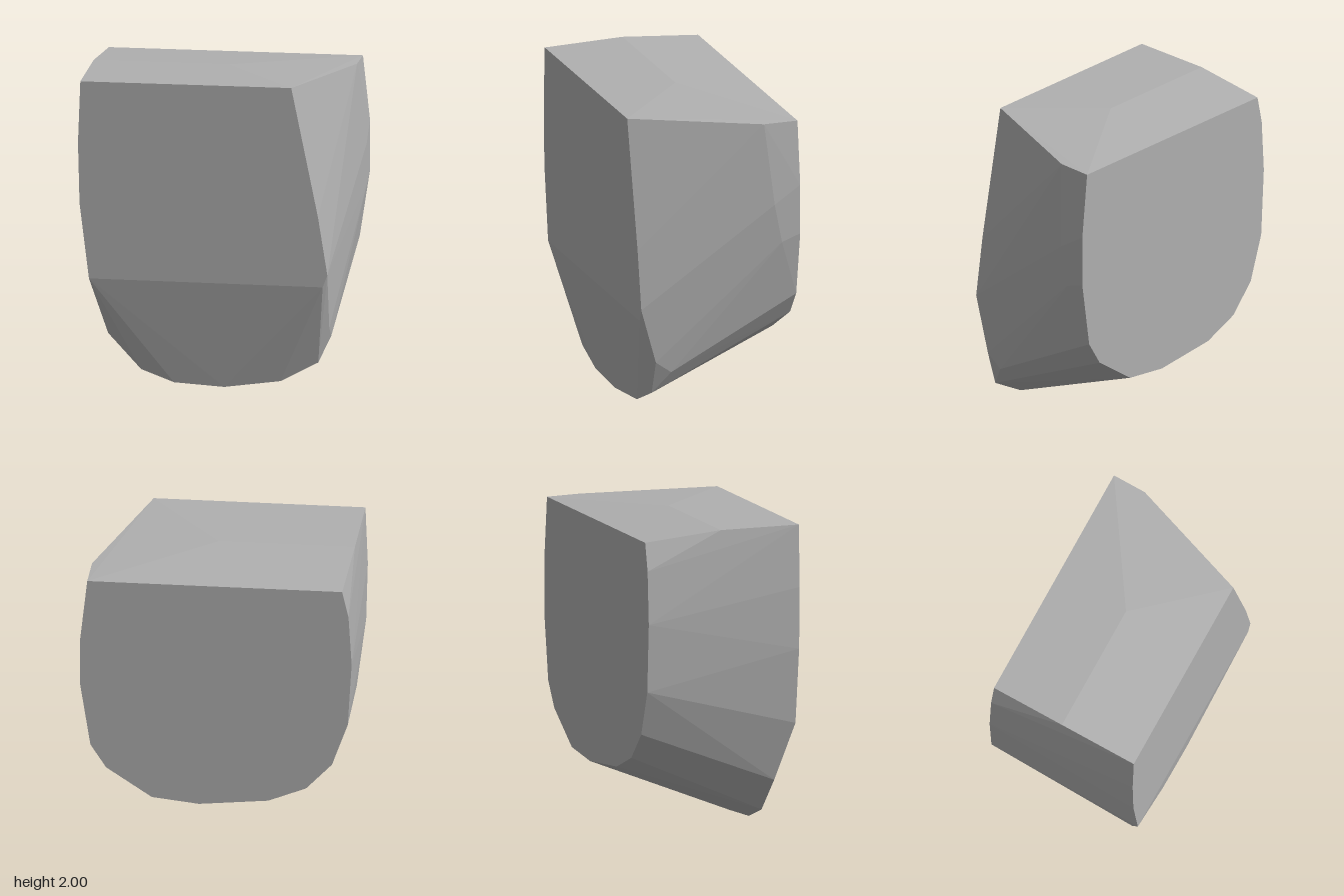
import * as THREE from 'three';
import { ConvexGeometry } from 'three/addons/geometries/ConvexGeometry.js';

// Outline of the flat front face, [x, y]
const FRONT = [[-0.855, 2], [0.49, 2], [0.66, 1.16], [0.72, 0.78], [0.69, 0.7],
  [-0.8, 0.71], [-0.86, 1.2], [-0.87, 1.6]];
// Lower rim, set slightly back from the front face
const RIM = [[-0.69, 0.33], [-0.48, 0.1], [-0.27, 0.02], [0.05, 0], [0.41, 0.05],
  [0.65, 0.18], [0.72, 0.41]];
// Outline of the flat back face
const BACK = [[-0.8, 1.95], [-0.84, 1.77], [-0.86, 1.43], [-0.835, 0.99], [-0.735, 0.7],
  [-0.57, 0.52], [-0.33, 0.42], [0.11, 0.375], [0.41, 0.41], [0.7, 0.61], [0.8, 0.77],
  [0.865, 1.2], [0.865, 1.53], [0.82, 1.95]];
// Corners between the faces, [x, y, z]
const MIDDLE = [[-0.835, 2, -0.01], [0.03, 2, -0.01], [0.81, 1.955, -0.29], [0.8, 1.7, -0.2],
  [0.865, 1.42, -0.34], [0.865, 1.16, -0.39], [0.72, 0.33, 0.31]];

const section = (outline, z) => outline.map(([x, y]) => new THREE.Vector3(x, y, z));

export function createModel() {
  const stone = new THREE.MeshStandardMaterial({ color: 0xb0b0b0 });
  stone.name = 'grey stone';

  // One faceted convex block spanning the cross-sections
  const geometry = new ConvexGeometry([
    ...section(FRONT, 0.515),
    ...section(RIM, 0.415),
    ...section(BACK, -0.515),
    ...MIDDLE.map((p) => new THREE.Vector3(...p)),
  ]);
  const block = new THREE.Mesh(geometry, stone);
  block.name = 'stoneBlock';

  const model = new THREE.Group();
  model.name = 'facetedStone';
  model.add(block);
  return model;
}
